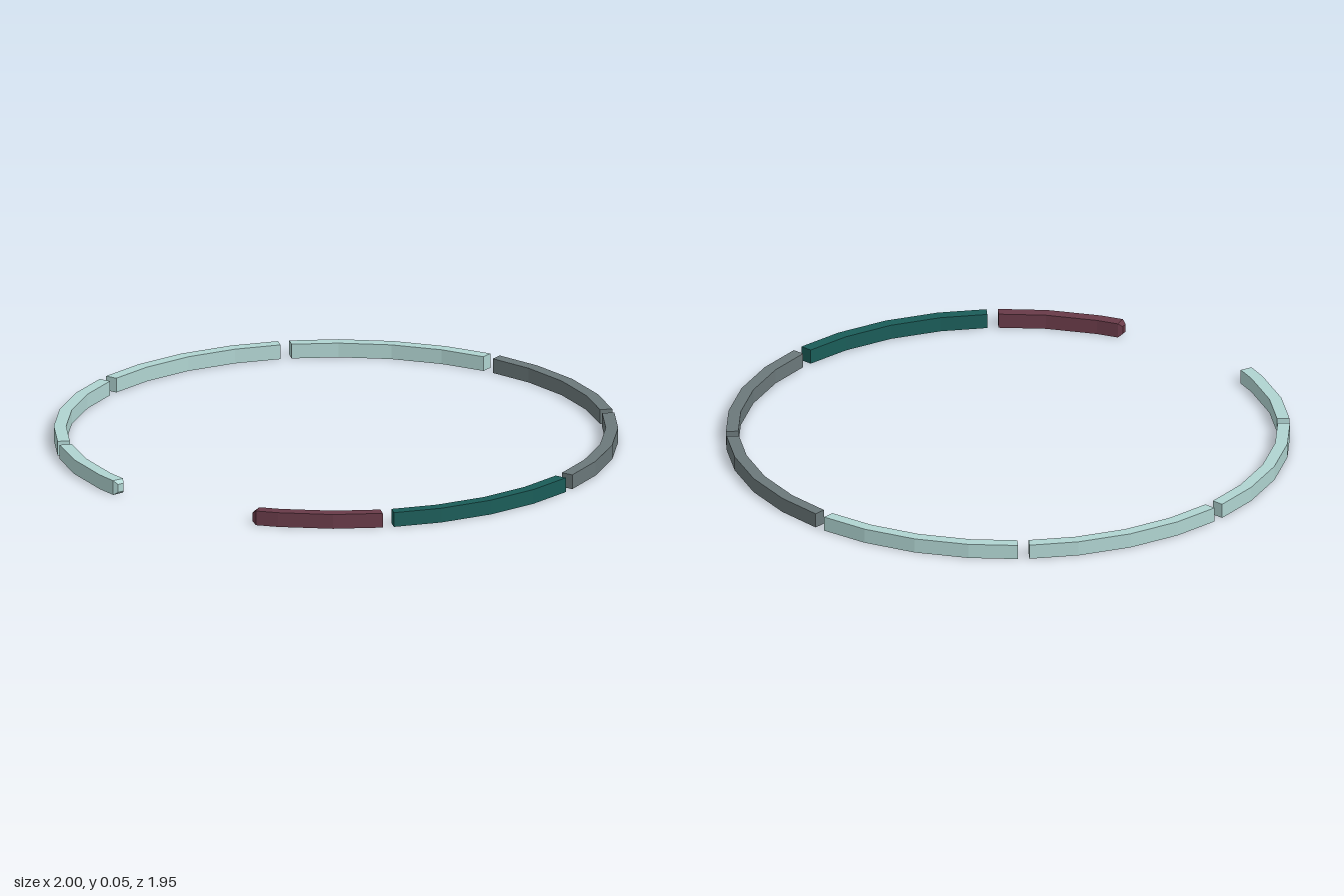
import * as THREE from 'three';

const OUTER = 1, INNER = 0.956, HEIGHT = 0.053, CENTRE_Z = 0.022;
const HALF_GAP = 0.02, STEP = 11.25;
const TIP = 16.9, TIP_SHOULDER = 17.8;
const rad = THREE.MathUtils.degToRad;

// Rectangular section of the ring; angle in degrees from the front (+z) towards +x.
// shift cuts the ends parallel to the gap, scale shrinks the section for bevelled tips.
function section(deg, shift = 0, scale = 1) {
  const midR = (OUTER + INNER) / 2, midY = HEIGHT / 2;
  return [[OUTER, 0], [OUTER, HEIGHT], [INNER, HEIGHT], [INNER, 0]].map(([r0, y0]) => {
    const r = midR + (r0 - midR) * scale, y = midY + (y0 - midY) * scale;
    const a = rad(deg) + Math.asin(shift / r);
    return [r * Math.sin(a), y, r * Math.cos(a) + CENTRE_Z];
  });
}

// Join sections into a closed bar
function bar(sections, flip) {
  const index = [], n = sections.length;
  const quad = (a, b, c, d) => index.push(...(flip ? [a, c, b, a, d, c] : [a, b, c, a, c, d]));
  for (let i = 0; i < n - 1; i++) {
    for (let k = 0; k < 4; k++) {
      const j = (k + 1) % 4;
      quad(i * 4 + k, i * 4 + 4 + k, i * 4 + 4 + j, i * 4 + j);
    }
  }
  const e = (n - 1) * 4;
  quad(0, 1, 2, 3);
  quad(e + 3, e + 2, e + 1, e);
  const geo = new THREE.BufferGeometry();
  geo.setAttribute('position', new THREE.Float32BufferAttribute(sections.flat(2), 3));
  geo.setIndex(index);
  const flat = geo.toNonIndexed();
  flat.computeVertexNormals();
  return flat;
}

export function createModel() {
  const group = new THREE.Group();
  group.name = 'segmentedRing';
  const material = (color) =>
    new THREE.MeshStandardMaterial({ color, flatShading: true });
  const pale = material(0xb0d4d1), grey = material(0x6b787a);
  const teal = material(0x1a5c58), burgundy = material(0x683a48);

  // Pieces of one half, front to back, with the colour for each side
  const pieces = [
    ['front', 0, burgundy],
    ['frontSide', 45, teal],
    ['backSide', 90, grey],
    ['back', 135, grey],
  ];
  for (const side of [1, -1]) {
    for (const [name, start, leftMaterial] of pieces) {
      const sections = start === 0
        ? [section(TIP, 0, 0.55), section(TIP_SHOULDER)] // bevelled open end
        : [section(start, HALF_GAP)];
      for (let k = 1; k < 4; k++) {
        const deg = start + k * STEP;
        if (deg > TIP_SHOULDER) sections.push(section(deg));
      }
      sections.push(section(start + 45, -HALF_GAP));
      for (const s of sections) for (const p of s) p[0] *= side;
      const mesh = new THREE.Mesh(bar(sections, side < 0), side > 0 ? leftMaterial : pale);
      mesh.name = name + (side > 0 ? 'LeftSegment' : 'RightSegment');
      group.add(mesh);
    }
  }
  return group;
}
